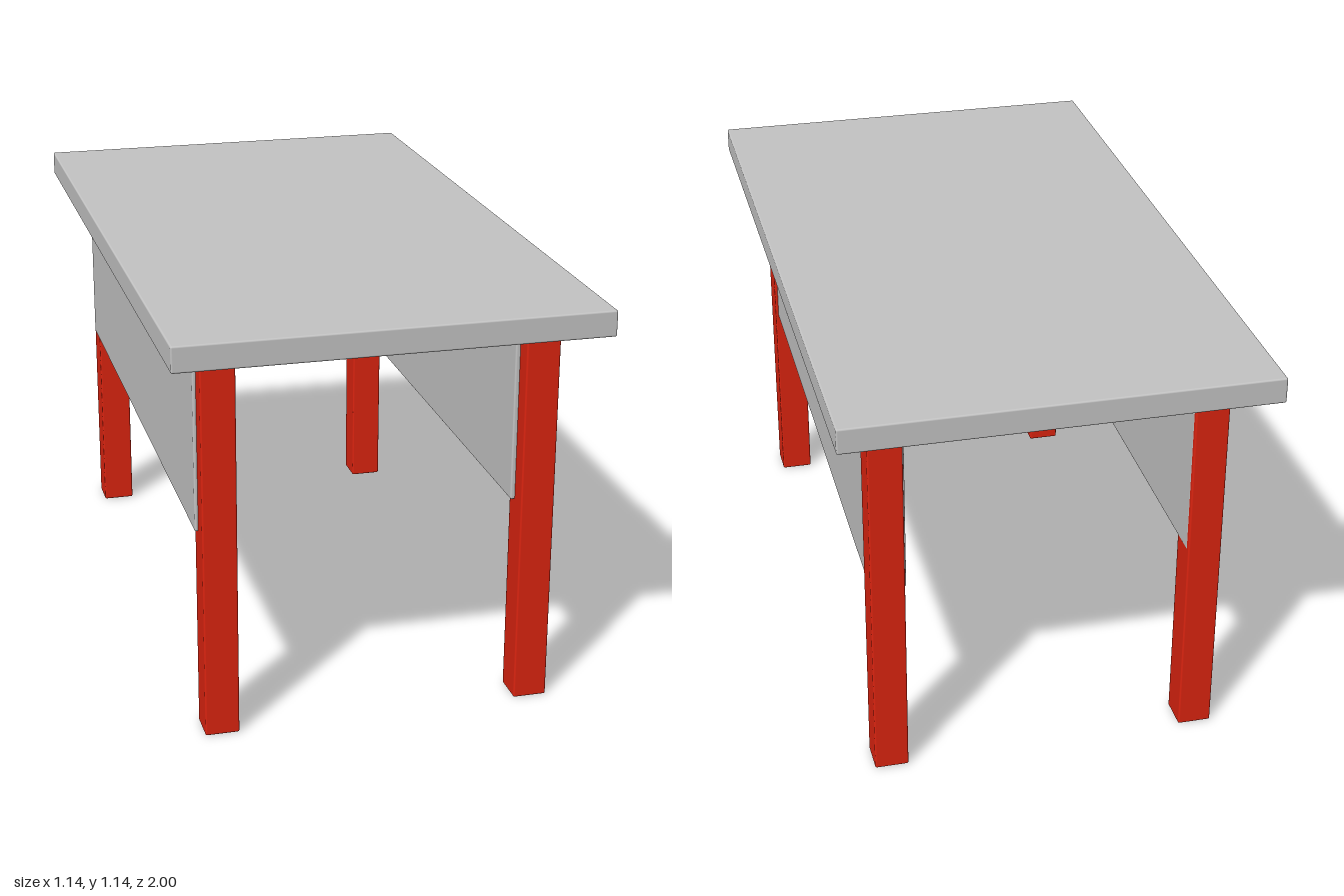
import * as THREE from 'three';
import { RoundedBoxGeometry } from 'three/addons/geometries/RoundedBoxGeometry.js';

export function createModel() {
  const table = new THREE.Group();
  table.name = 'table';

  const grey = new THREE.MeshStandardMaterial({ color: 0xc4c4c4 });
  grey.name = 'light grey';
  const red = new THREE.MeshStandardMaterial({ color: 0xdc2410 });
  red.name = 'red';

  // Box with slightly softened edges
  function softBox(name, size, position, material) {
    const mesh = new THREE.Mesh(new RoundedBoxGeometry(...size, 2, 0.005), material);
    mesh.name = name;
    mesh.position.set(...position);
    table.add(mesh);
    return mesh;
  }

  // Top slab
  softBox('tableTop', [1.145, 0.07, 2], [0, 1.106, 0], grey);

  // Four square legs
  for (const [side, x] of [['Left', 0.43], ['Right', -0.43]]) {
    for (const [end, z] of [['front', 0.82], ['back', -0.82]]) {
      softBox(`${end}${side}Leg`, [0.092, 1.072, 0.092], [x, 0.536, z], red);
    }
  }

  // Deep side panels between the legs, set very slightly askew
  for (const [name, x] of [['leftPanel', 0.423], ['rightPanel', -0.434]]) {
    const panel = softBox(name, [0.095, 0.498, 1.67], [x, 0.818, -0.02], grey);
    panel.rotation.y = -0.004;
  }

  return table;
}
